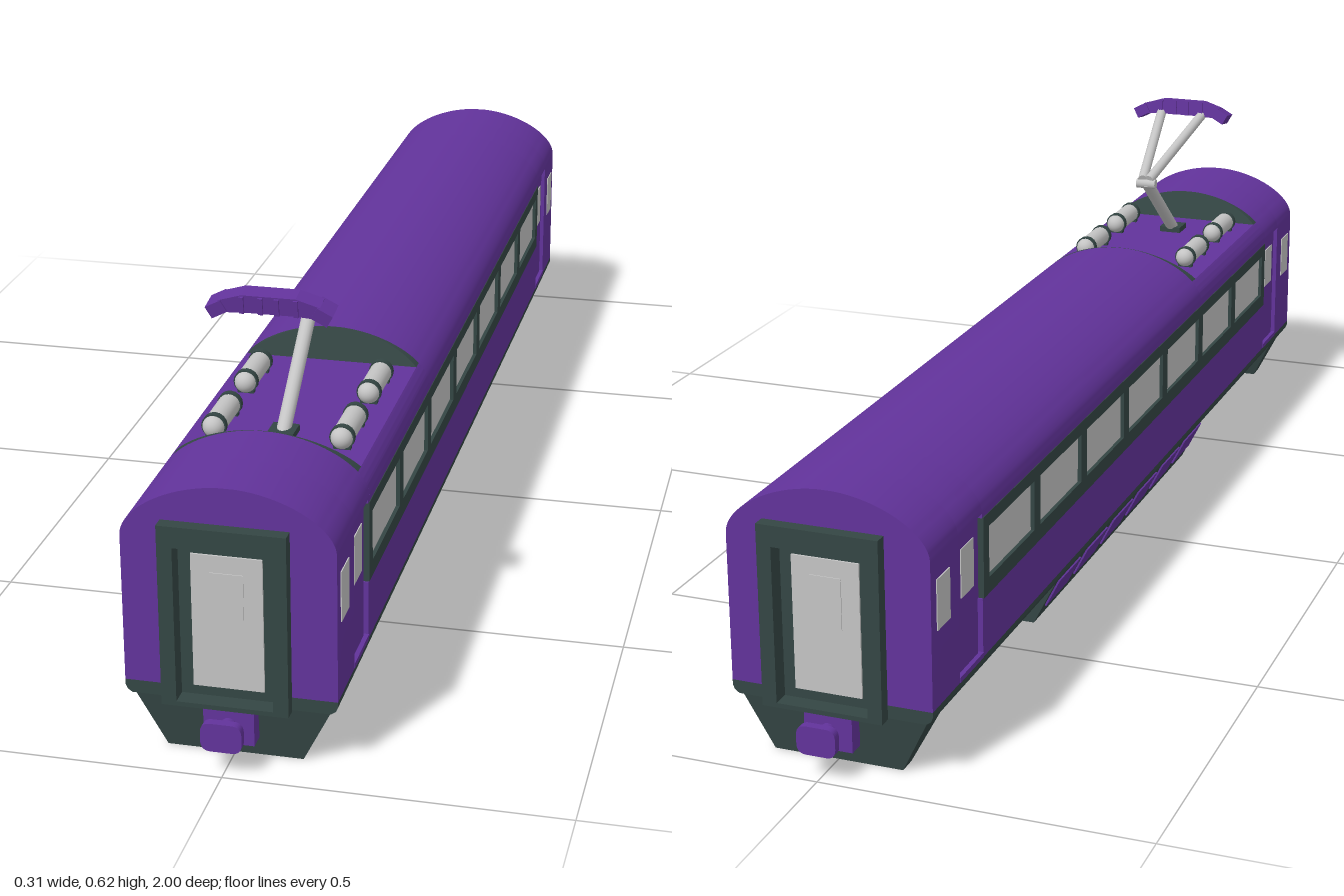
import * as THREE from 'three';
import { toCreasedNormals } from 'three/addons/utils/BufferGeometryUtils.js';

const mat = (name, color) => Object.assign(new THREE.MeshStandardMaterial({ color }), { name });

export function createModel() {
  const purple = mat('purple paint', 0x62339b);
  const dark = mat('dark grey', 0x344644);
  const light = mat('light grey', 0xc4c4c4);
  const root = new THREE.Group();
  const V = (x, y, z) => new THREE.Vector3(x, y, z);

  const add = (parent, name, geo, material, x = 0, y = 0, z = 0) => {
    const m = new THREE.Mesh(geo, material);
    m.name = name;
    m.position.set(x, y, z);
    parent.add(m);
    return m;
  };
  const group = (name, parent = root) => {
    const g = new THREE.Group();
    g.name = name;
    parent.add(g);
    return g;
  };
  const box = (parent, name, material, w, h, d, x, y, z) =>
    add(parent, name, new THREE.BoxGeometry(w, h, d), material, x, y, z);
  const rod = (parent, name, material, a, b, r) => {
    const m = add(parent, name, new THREE.CylinderGeometry(r, r, a.distanceTo(b), 16), material);
    m.position.copy(a).add(b).multiplyScalar(0.5);
    m.quaternion.setFromUnitVectors(V(0, 1, 0), b.clone().sub(a).normalize());
    return m;
  };
  const extrude = (shape, depth) => new THREE.ExtrudeGeometry(shape, { depth, bevelEnabled: false });
  const rectPath = (Type, x0, y0, x1, y1) =>
    new Type([[x0, y0], [x1, y0], [x1, y1], [x0, y1]].map(p => new THREE.Vector2(...p)));
  // mirrored cross-section from right-half points
  const mirrored = pts => new THREE.Shape(
    [...pts, ...pts.map(([x, y]) => [-x, y]).reverse()].map(p => new THREE.Vector2(...p)));

  // Roof curve; PIT is the parameter where the equipment well is cut
  const W = 0.155, PIT = 0.29;
  const curve = new THREE.CubicBezierCurve(new THREE.Vector2(W, 0.335), new THREE.Vector2(W, 0.375),
    new THREE.Vector2(0.08, 0.42), new THREE.Vector2(0, 0.42));
  const arc = (t0, t1, n = 20) => Array.from({ length: n + 1 }, (_, i) =>
    curve.getPoint(t0 + (t1 - t0) * i / n).toArray()).filter(p => p[0] > 0.0001);

  // Body shell, in slices along z with door and window recesses
  const body = group('body');
  const slice = (z0, z1, notch, pit) => {
    const pts = [[W, 0.108]];
    if (notch) {
      const [lo, hi, d] = notch;
      pts.push([W, lo], [W - d, lo], [W - d, hi], [W, hi]);
    }
    const g = extrude(mirrored([...pts, ...arc(0, pit ? PIT : 1)]), z1 - z0);
    add(body, 'bodyShell', toCreasedNormals(g, 0.5), purple, 0, 0, z0);
  };
  const doorNotch = [0.109, 0.333, 0.008], winNotch = [0.2, 0.326, 0.008];
  slice(-0.945, -0.845);
  slice(-0.845, -0.755, doorNotch);
  slice(-0.755, 0.32, winNotch);
  slice(0.32, 0.745, winNotch, true);
  slice(0.745, 0.755, winNotch);
  slice(0.755, 0.845, doorNotch);
  slice(0.845, 0.945);
  add(body, 'sill', extrude(mirrored([[0.145, 0.088], [0.152, 0.093], [W, 0.1], [W, 0.108]]), 1.89), dark, 0, 0, -0.945);

  // Sloped end walls of the roof well
  for (const s of [1, -1]) {
    const g = extrude(mirrored(arc(PIT, 1)), 0.016);
    const p = g.attributes.position;
    for (let i = 0; i < p.count; i++)
      if (p.getZ(i) > 0.008) p.setZ(i, 0.001 + 0.018 * (0.42 - p.getY(i)) / 0.05);
    g.computeVertexNormals();
    add(body, 'wellEndWall', g, dark, 0, 0, s > 0 ? 0.32 : 0.745).rotation.y = s > 0 ? 0 : Math.PI;
  }

  // Side windows, doors and door windows
  for (const s of [1, -1]) {
    const side = group(s > 0 ? 'leftSide' : 'rightSide');
    const frame = rectPath(THREE.Shape, -0.752, 0.2, 0.752, 0.326);
    for (let i = -3; i <= 3; i++) {
      const c = i * 0.2125;
      frame.holes.push(rectPath(THREE.Path, c - 0.093, 0.225, c + 0.093, 0.305));
      box(side, 'window', light, 0.004, 0.084, 0.19, s * 0.148, 0.265, c);
    }
    const g = extrude(frame, 0.009);
    g.rotateY(s * Math.PI / 2);
    add(side, 'windowFrame', g, dark, s * 0.147);
    for (const e of [1, -1]) {
      box(side, 'door', purple, 0.006, 0.215, 0.078, s * 0.146, 0.222, e * 0.8);
      box(side, 'doorWindow', light, 0.004, 0.075, 0.048, s * 0.1485, 0.267, e * 0.8);
      box(side, 'doorStep', purple, 0.014, 0.008, 0.09, s * 0.149, 0.112, e * 0.8);
      box(side, 'endWindow', light, 0.004, 0.077, 0.047, s * 0.1545, 0.263, e * 0.902);
    }
  }

  // Underfloor equipment case with sloped sides and panels
  const under = group('underfloorCase');
  add(under, 'case', extrude(mirrored([[0.1, 0], [0.145, 0.09]]), 0.8), dark, 0, 0, -0.4);
  for (const s of [1, -1])
    for (let i = 0; i < 6; i++)
      box(under, 'panel', purple, 0.006, 0.053, 0.102, s * 0.1255, 0.051, (i - 2.5) * 0.1345)
        .rotation.z = -s * 0.4636;

  // Both ends: apron, gangway, end door and coupler
  for (const s of [1, -1]) {
    const end = group(s > 0 ? 'frontEnd' : 'backEnd');
    end.rotation.y = s > 0 ? 0 : Math.PI;

    const apron = new THREE.BoxGeometry(2, 0.09, 2);
    const p = apron.attributes.position;
    for (let i = 0; i < p.count; i++) {
      const top = p.getY(i) > 0, out = p.getZ(i) > 0;
      p.setX(i, p.getX(i) * (top ? 0.145 : 0.1));
      p.setZ(i, top ? (out ? 0.938 : 0.87) : (out ? 0.927 : 0.897));
    }
    apron.computeVertexNormals();
    add(end, 'apron', apron, dark, 0, 0.045, 0);

    const ring = (x, top, bottom, z, depth, name) => {
      const r = rectPath(THREE.Shape, -x, bottom, x, top);
      r.holes.push(rectPath(THREE.Path, -0.07, 0.1, 0.07, 0.338));
      add(end, name, extrude(r, depth), dark, 0, 0, z);
    };
    ring(0.084, 0.362, 0.095, 0.944, 0.014, 'gangwayNeck');
    ring(0.092, 0.37, 0.093, 0.957, 0.02, 'gangwayFrame');
    box(end, 'gangwayWall', dark, 0.142, 0.242, 0.006, 0, 0.218, 0.947);
    box(end, 'endDoor', light, 0.103, 0.205, 0.006, 0, 0.218, 0.95);
    box(end, 'endDoorPanel', light, 0.048, 0.079, 0.004, 0, 0.255, 0.9525);

    box(end, 'couplerMount', purple, 0.074, 0.058, 0.026, 0, 0.06, 0.946);
    rod(end, 'couplerShaft', purple, V(0, 0.06, 0.955), V(0, 0.06, 0.99), 0.012);
    const pad = new THREE.Shape();
    pad.moveTo(-0.015, -0.022).lineTo(0.015, -0.022).quadraticCurveTo(0.03, -0.022, 0.03, -0.006)
      .lineTo(0.03, 0.006).quadraticCurveTo(0.03, 0.022, 0.015, 0.022)
      .lineTo(-0.015, 0.022).quadraticCurveTo(-0.03, 0.022, -0.03, 0.006)
      .lineTo(-0.03, -0.006).quadraticCurveTo(-0.03, -0.022, -0.015, -0.022);
    add(end, 'couplerPad', extrude(pad, 0.013), purple, 0, 0.062, 0.987);
  }

  // Roof tanks with bands and feet
  for (const x of [-0.097, 0.097])
    for (const z of [0.627, 0.452]) {
      const tank = group('roofTank');
      tank.position.set(x, 0.388, z);
      add(tank, 'tankShell', new THREE.CapsuleGeometry(0.017, 0.09, 8, 20), light).rotation.x = Math.PI / 2;
      for (const d of [-0.042, 0.042]) {
        rod(tank, 'tankBand', dark, V(0, 0, d - 0.005), V(0, 0, d + 0.005), 0.019);
        box(tank, 'tankFoot', dark, 0.026, 0.014, 0.01, 0, -0.014, d);
      }
    }

  // Pantograph: lower arm, elbow, two upper arms
  const pan = group('pantograph');
  const elbow = V(0, 0.508, 0.468);
  rod(pan, 'lowerArm', light, V(0, 0.37, 0.645), elbow, 0.011);
  rod(pan, 'elbowPin', light, V(-0.018, 0.504, 0.47), V(0.018, 0.504, 0.47), 0.009);
  box(pan, 'armBase', dark, 0.04, 0.012, 0.04, 0, 0.374, 0.64);
  for (const s of [1, -1])
    rod(pan, 'upperArm', light, V(s * 0.006, 0.512, 0.466), V(s * 0.042, 0.594, 0.695), 0.009);

  // Arched contact head with ribs and drooping horns
  const head = group('contactHead', pan);
  head.position.set(0, 0.598, 0.695);
  head.rotation.x = 0.15;
  add(head, 'contactBar', extrude(mirrored([[0.04, -0.011], [0.07, -0.013], [0.075, 0.006], [0.04, 0.017]]), 0.03),
    purple, 0, 0, -0.015);
  for (const s of [1, -1]) {
    box(head, 'horn', purple, 0.026, 0.02, 0.036, s * 0.078, -0.008, 0).rotation.z = -s * 0.5;
    for (const x of [0.012, 0.04])
      box(head, 'rib', purple, 0.007, 0.026, 0.037, s * x, 0.002, 0);
  }
  return root;
}
